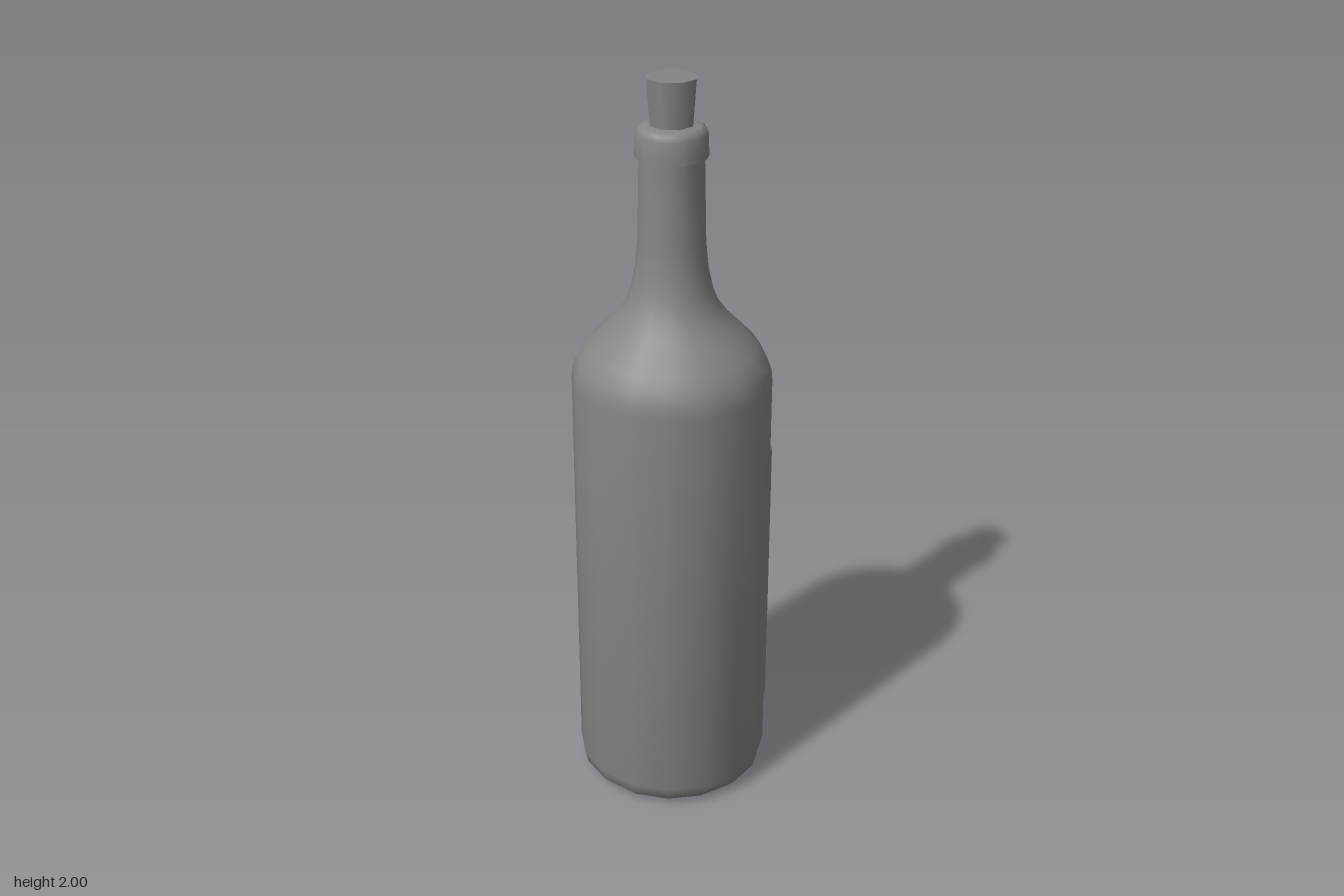
import * as THREE from 'three';
import { toCreasedNormals } from 'three/addons/utils/BufferGeometryUtils.js';

const SIDES = 16;

export function createModel() {
  const group = new THREE.Group();
  group.name = 'bottle';
  const glass = new THREE.MeshStandardMaterial({ color: 0x858585 });
  const paper = new THREE.MeshStandardMaterial({ color: 0x858585, side: THREE.DoubleSide });

  const add = (name, geometry, material = glass) => {
    const mesh = new THREE.Mesh(geometry, material);
    mesh.name = name;
    group.add(mesh);
    return mesh;
  };
  const lathe = (points, ...arc) =>
    new THREE.LatheGeometry(points.map(([r, y]) => new THREE.Vector2(r, y)), ...arc);

  // Body, shoulder and neck: one turned profile, smooth around
  add('glassBody', toCreasedNormals(lathe([
    [0, 0], [0.205, 0], [0.235, 0.008], [0.255, 0.028], [0.263, 0.06],
    [0.263, 1.2], [0.26, 1.23], [0.248, 1.262], [0.226, 1.295], [0.19, 1.333],
    [0.153, 1.37], [0.124, 1.41], [0.106, 1.455], [0.093, 1.515], [0.087, 1.58],
    [0.082, 1.81],
  ], SIDES), 0.75));

  // Collar around the mouth, with a rounded top
  add('lipRing', toCreasedNormals(lathe([
    [0.07, 1.803], [0.0925, 1.803], [0.0925, 1.815], [0.0905, 1.86],
    [0.086, 1.873], [0.076, 1.88], [0.05, 1.883], [0, 1.883],
  ], SIDES), 1.1));

  // Tapered stopper
  add('cork', new THREE.CylinderGeometry(0.066, 0.055, 0.14, 8)).position.y = 1.93;

  // Paper wrapped around the back half
  add('label', lathe([[0.267, 0.22], [0.267, 1]], SIDES / 2, Math.PI / 2, Math.PI), paper);

  return group;
}
